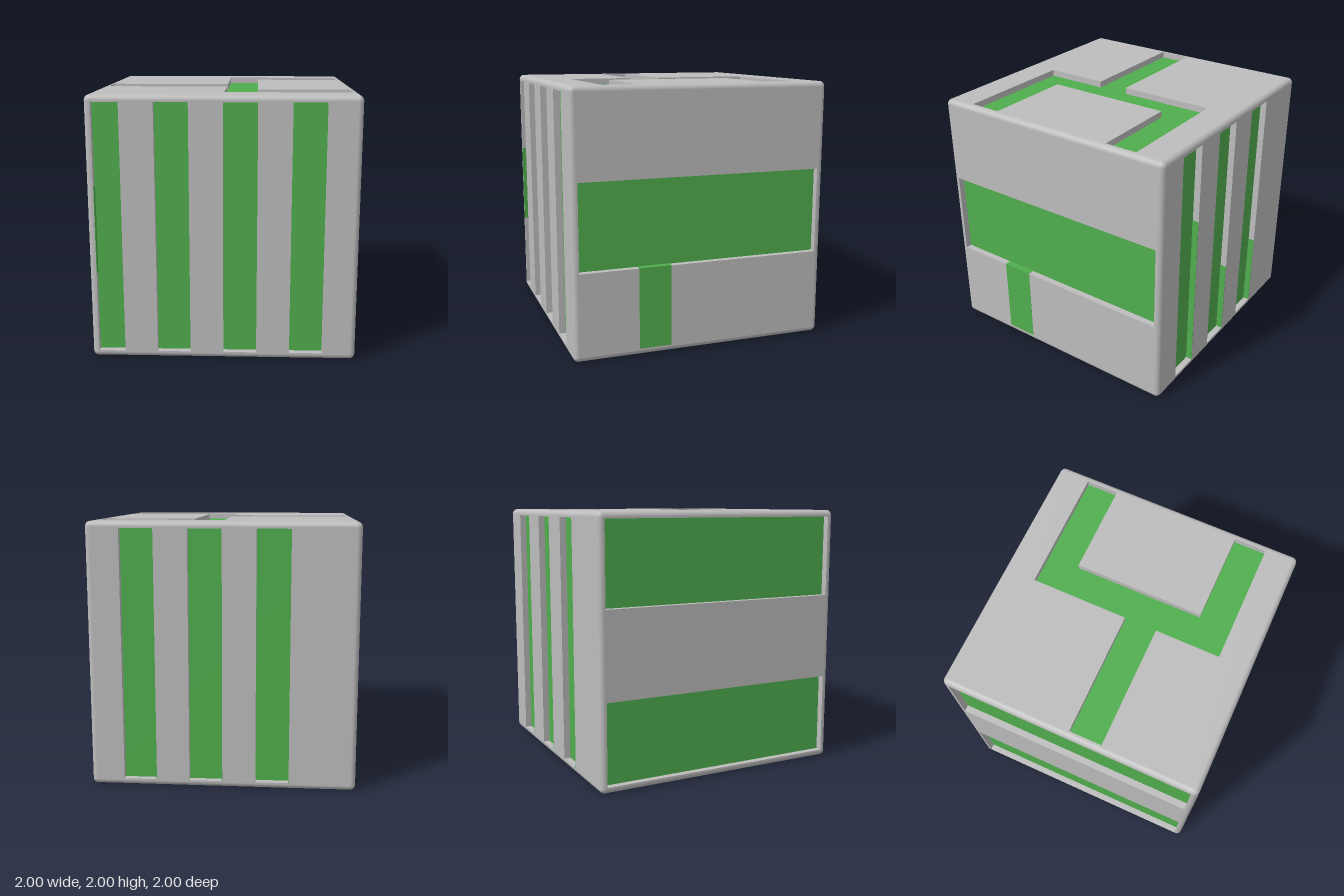
import * as THREE from 'three';

const FLOOR = 0.95, EDGE = 0.04, FLAT = 1 - EDGE;

// rectangle outline, counter-clockwise
const rect = (x0, x1, y0, y1) => [[x0, y0], [x1, y0], [x1, y1], [x0, y1]];
const stripe = (x) => rect(Math.max(x, -FLOOR), x + 0.25, -FLOOR, FLOOR);

export function createModel() {
  const model = new THREE.Group();
  const grey = new THREE.MeshStandardMaterial({ color: 0xbdbdbd });
  grey.name = 'grey shell';
  const green = new THREE.MeshStandardMaterial({ color: 0x50ae4e });
  green.name = 'green inlay';

  const cube = new THREE.Group();
  cube.name = 'cube';
  cube.position.y = 1;
  model.add(cube);

  const add = (parent, name, geometry, material) => {
    const mesh = new THREE.Mesh(geometry, material);
    mesh.name = name;
    parent.add(mesh);
    return mesh;
  };
  const addBox = (parent, name, x0, x1, y0, y1, z0, z1) =>
    add(parent, name, new THREE.BoxGeometry(x1 - x0, y1 - y0, z1 - z0), green)
      .position.set((x0 + x1) / 2, (y0 + y1) / 2, (z0 + z1) / 2);

  // green core forms the floor of every groove
  add(cube, 'core', new THREE.BoxGeometry(2 * FLOOR, 2 * FLOOR, 2 * FLOOR), green);

  // shell panel with grooves cut through it, turned to its side
  const panel = (name, rx, ry, grooves) => {
    const side = new THREE.Group();
    side.name = name;
    side.rotation.set(rx, ry, 0);
    cube.add(side);
    const toPoints = (list) => list.map(([x, y]) => new THREE.Vector2(x, y));
    const shape = new THREE.Shape(toPoints(rect(-FLAT, FLAT, -FLAT, FLAT)));
    for (const g of grooves) shape.holes.push(new THREE.Path(toPoints(g)));
    const geometry = new THREE.ExtrudeGeometry(shape, { depth: 1 - FLOOR, bevelEnabled: false });
    geometry.translate(0, 0, FLOOR);
    add(side, name + 'Shell', geometry, grey);
    return side;
  };

  const quarter = Math.PI / 2;
  const front = panel('frontPanel', 0, 0, [-1, -0.5, 0, 0.5].map(stripe));
  const back = panel('backPanel', 0, Math.PI, [-0.75, -0.25, 0.25].map(stripe));
  const plusX = panel('leftPanel', 0, quarter, [rect(-FLOOR, FLOOR, -0.33, 0.33)]);
  panel('rightPanel', 0, -quarter, [
    rect(-FLOOR, FLOOR, -FLOOR, -0.33), rect(-FLOOR, FLOOR, 0.33, FLOOR)]);

  // forked groove on top
  panel('topPanel', -quarter, 0, [[
    [-FLOOR, -0.25], [0, -0.25], [0, -0.75], [FLOOR, -0.75], [FLOOR, -0.5], [0.25, -0.5],
    [0.25, 0.5], [FLOOR, 0.5], [FLOOR, 0.75], [0, 0.75], [0, 0], [-FLOOR, 0]]]);

  // stepped groove underneath
  panel('bottomPanel', quarter, 0, [[
    [0.5, -FLOOR], [0.75, -FLOOR], [0.75, 0], [0.25, 0], [0.25, 0.5], [-0.25, 0.5],
    [-0.25, FLOOR], [-FLOOR, FLOOR], [-FLOOR, 0.75], [-0.5, 0.75], [-0.5, 0.25],
    [0, 0.25], [0, -0.25], [0.5, -0.25]]]);

  // flush green bar below the side band
  addBox(plusX, 'flushBar', -0.5, -0.25, -FLOOR, -0.328, FLOOR, 1.001);

  // green linings on groove walls
  addBox(front, 'grooveLining', -FLOOR, -FLOOR + 0.004, -0.33, 0.33, FLOOR, 1);
  for (const [x, top] of [[-0.5, 0.33], [0, -0.33], [0.5, -0.33]]) {
    addBox(back, 'grooveLining', x - 0.004, x, -FLOOR, top, FLOOR, 1);
  }

  // rounded edges and corners
  const edgeGeo = new THREE.CylinderGeometry(EDGE, EDGE, 2 * FLAT, 6, 1, true, 0, quarter);
  const cornerGeo = new THREE.SphereGeometry(EDGE, 6, 6, 0, quarter, 0, quarter);
  for (const flip of [0, Math.PI]) {
    for (let i = 0; i < 4; i++) {
      const turn = new THREE.Group();
      turn.name = 'roundedEdges';
      turn.rotation.set(flip, i * quarter, 0);
      cube.add(turn);
      const rim = add(turn, 'rimEdge', edgeGeo, grey);
      rim.rotation.z = quarter;
      rim.position.set(0, FLAT, FLAT);
      add(turn, 'corner', cornerGeo, grey).position.set(-FLAT, FLAT, FLAT);
      if (!flip) add(turn, 'uprightEdge', edgeGeo, grey).position.set(FLAT, 0, FLAT);
    }
  }
  return model;
}
